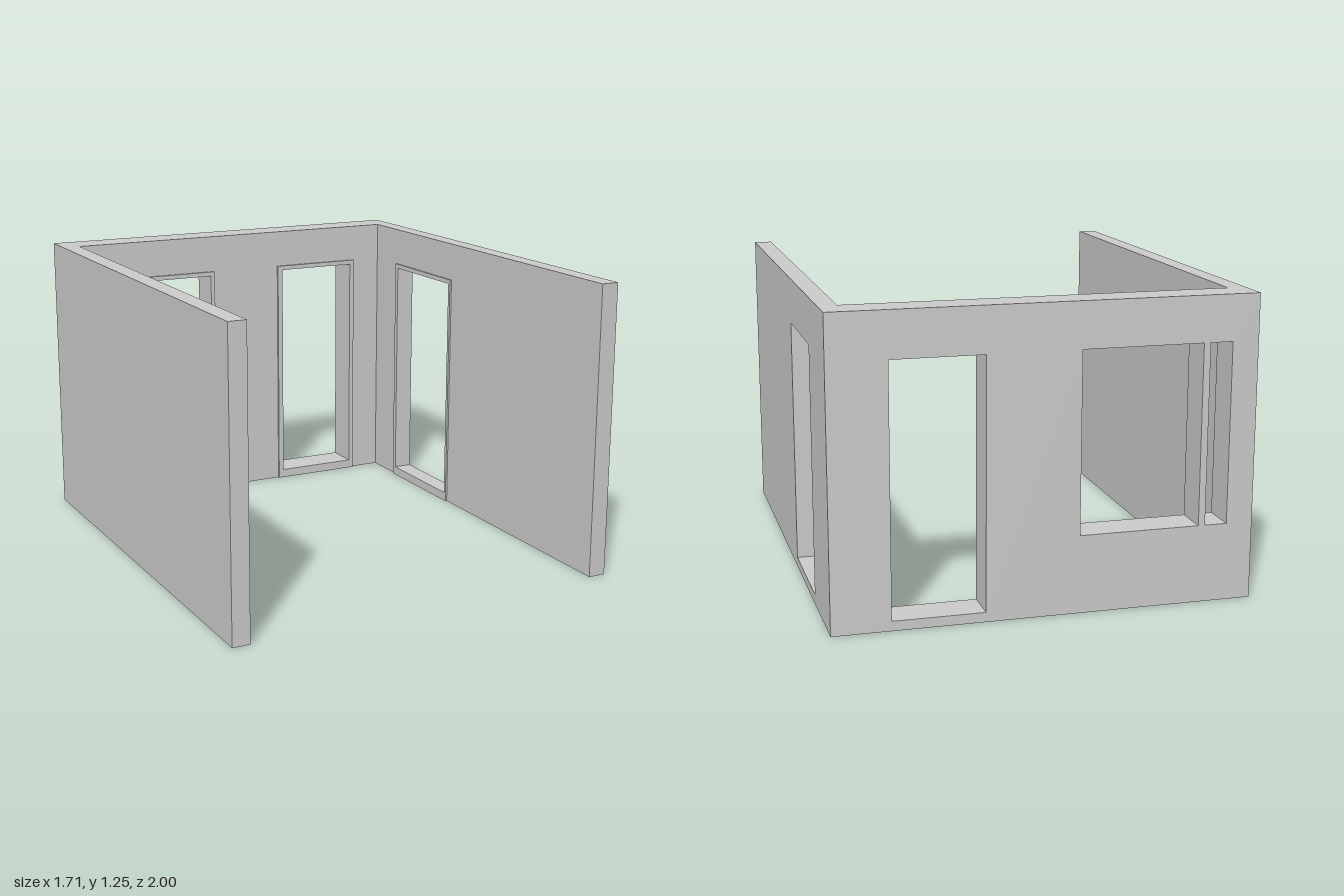
import * as THREE from 'three';

const H = 1.248, X = 0.857, XI = 0.781, ZI = -0.857, LIP = 0.01;
const material = new THREE.MeshStandardMaterial({ color: 0xcccccc, flatShading: true });

// Upright slab with rectangular holes; rectangles are [u0, v0, u1, v1]
function slab(name, [u0, v0, u1, v1], holes, depth) {
  const corners = (a, b, c, d) => [[a, b], [c, b], [c, d], [a, d]].map(p => new THREE.Vector2(...p));
  const shape = new THREE.Shape(corners(u0, v0, u1, v1));
  for (const h of holes) shape.holes.push(new THREE.Path(corners(...h).reverse()));
  const mesh = new THREE.Mesh(
    new THREE.ExtrudeGeometry(shape, { depth, bevelEnabled: false }), material);
  mesh.name = name;
  return mesh;
}

export function createModel() {
  const room = new THREE.Group();
  room.name = 'room';

  // Openings: a window split by a post, a back doorway and a side doorway
  const windowHoles = [[-0.748, 0.32, -0.656, 1.06], [-0.628, 0.32, -0.134, 1.06]];
  const backDoor = [0.246, 0.04, 0.619, 1.06];
  const sideDoor = [-0.633, 0.04, -0.16, 1.06];

  const facingFront = (mesh, z) => { mesh.position.z = z; room.add(mesh); };
  // Turned slabs run along z and thicken towards -x
  const facingSide = (mesh, x) => {
    mesh.rotation.y = -Math.PI / 2;
    mesh.position.x = x;
    room.add(mesh);
  };

  // Walls
  facingFront(slab('backWall', [-X, 0, X, H], [...windowHoles, backDoor], ZI + 1), -1);
  facingSide(slab('leftWall', [ZI, 0, 1, H], [sideDoor], X - XI), X);
  facingSide(slab('rightWall', [ZI, 0, 1, H], [], X - XI), -XI);

  // Thin raised trims on the inner faces
  facingFront(slab('windowTrim', [-0.769, 0.3, -0.114, 1.08], windowHoles, LIP), ZI);
  facingFront(slab('backDoorTrim', [0.222, 0, 0.641, 1.08], [backDoor], LIP), ZI);
  facingSide(slab('sideDoorTrim', [-0.657, 0, -0.145, 1.08], [sideDoor], 0.008), XI);

  return room;
}
